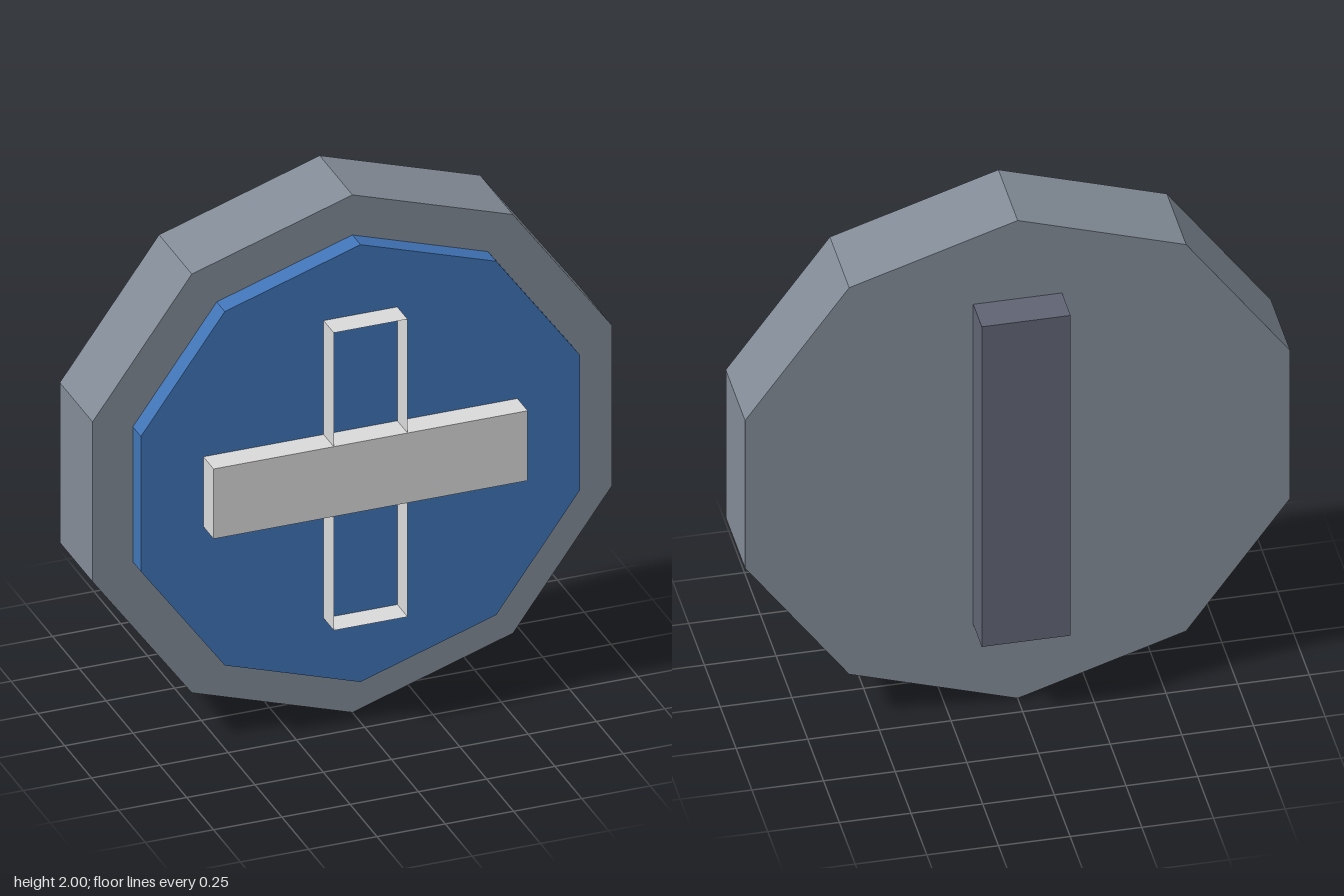
import * as THREE from 'three';

const material = (name, color, side = THREE.FrontSide) => {
  const m = new THREE.MeshStandardMaterial({ color, side });
  m.name = name;
  return m;
};

export function createModel() {
  const grey = material('steel grey', 0x828b96);
  const blue = material('blue', 0x4074b6);
  const dark = material('dark slate', 0x606473);
  const light = material('light grey', 0xd9d9d9, THREE.DoubleSide);
  const group = new THREE.Group();

  const add = (name, geometry, mat, x, y, z) => {
    const mesh = new THREE.Mesh(geometry, mat);
    mesh.name = name;
    mesh.position.set(x, y, z);
    group.add(mesh);
  };

  // Ten-sided plate facing +z, with a corner at the top
  const plate = (name, radius, z0, z1, mat) => {
    const g = new THREE.CylinderGeometry(radius, radius, z1 - z0, 10).rotateX(Math.PI / 2).toNonIndexed();
    g.computeVertexNormals();
    add(name, g, mat, 0, 1, (z0 + z1) / 2);
  };
  plate('body', 1, -0.17, 0.135, grey);
  plate('face', 0.845, 0.135, 0.21, blue);

  // Solid crossbar on the face
  const depth = 0.095, z = 0.21 + depth / 2;
  add('crossbar', new THREE.BoxGeometry(1.15, 0.27, depth), light, 0, 1.003, z);

  // Upright of the cross: open frame made of thin walls
  const half = 0.575, halfWidth = 0.135;
  for (const s of [-1, 1]) {
    const length = half - halfWidth;
    add('uprightEnd', new THREE.PlaneGeometry(2 * halfWidth, depth).rotateX(-s * Math.PI / 2),
      light, 0, 1.003 + s * half, z);
    for (const t of [-1, 1]) {
      add('uprightWall', new THREE.PlaneGeometry(depth, length).rotateY(t * Math.PI / 2),
        light, t * halfWidth, 1.003 + s * (halfWidth + length / 2), z);
    }
  }

  // Grip bar on the back
  add('backGrip', new THREE.BoxGeometry(0.31, 1.34, 0.135), dark, 0, 1.003, -0.2375);
  return group;
}
